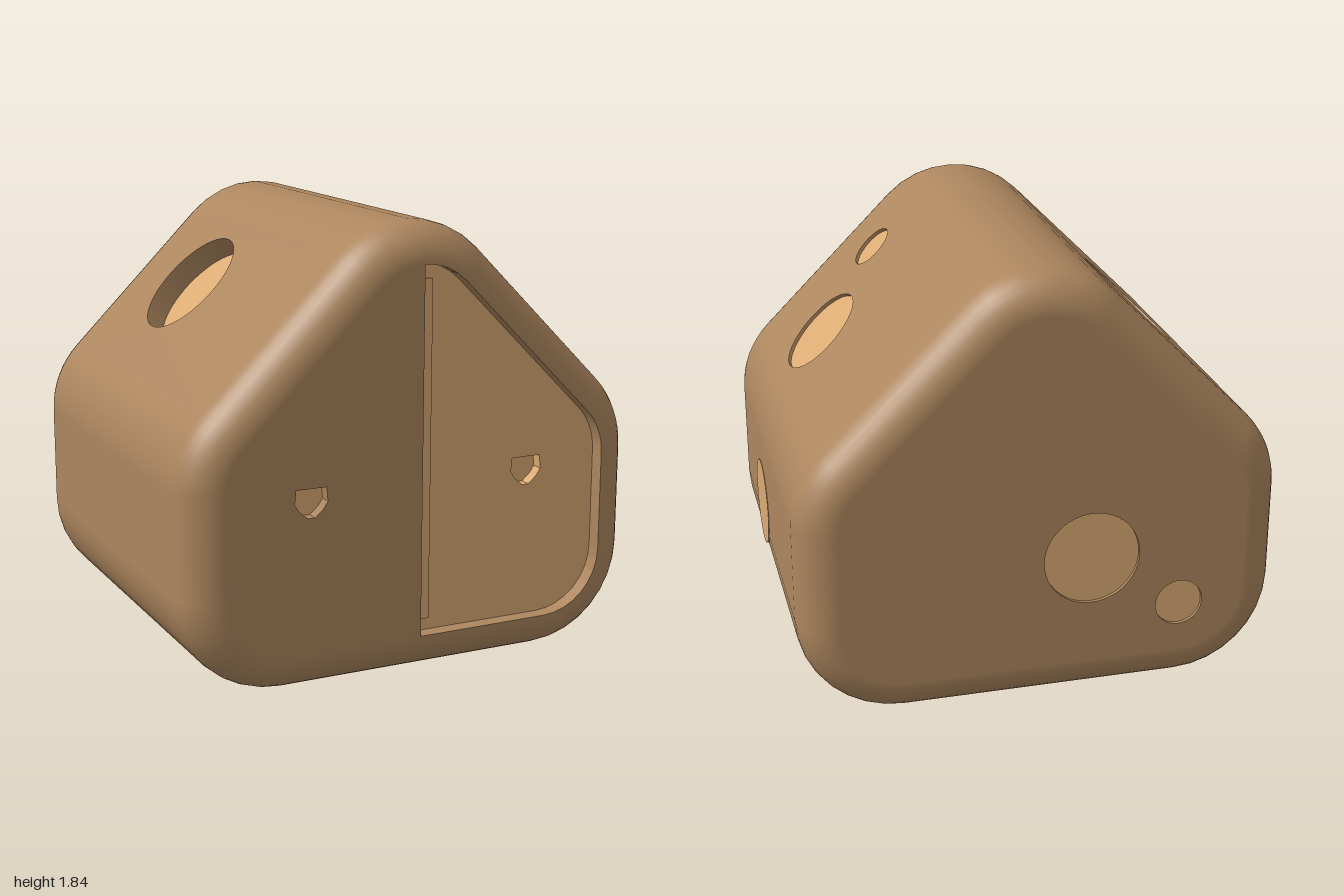
import * as THREE from 'three';

const R = 0.42, BEVEL = 0.16, HALF = 0.91, N = 8;

// Rounded house outline: five arcs, each [centre x, centre y, start angle, end angle]
const ARCS = [
  [0.58, 0.42, -90, 0], [0.58, 0.836, 0, 45], [0, 1.416, 45, 135],
  [-0.58, 0.836, 135, 180], [-0.58, 0.42, 180, 270],
];

function outline(inset) {
  const pts = [];
  for (const [cx, cy, a0, a1] of ARCS) {
    for (let i = 0; i <= N; i++) {
      const a = THREE.MathUtils.degToRad(a0 + (a1 - a0) * i / N);
      const p = new THREE.Vector2(cx + (R - inset) * Math.cos(a), cy + (R - inset) * Math.sin(a));
      p.angle0 = a;
      pts.push(p);
    }
  }
  return pts;
}

function circle(cx, cy, r) {
  return Array.from({ length: 48 }, (_, i) => {
    const a = i / 48 * Math.PI * 2;
    return new THREE.Vector2(cx + r * Math.cos(a), cy + r * Math.sin(a));
  });
}

// Small finger hole: flat top, pointed rounded bottom
function fingerHole(cx) {
  return [[-0.065, 0.838], [-0.07, 0.78], [-0.05, 0.75], [-0.015, 0.72], [0.015, 0.72],
    [0.05, 0.75], [0.07, 0.78], [0.065, 0.838]].map(([x, y]) => new THREE.Vector2(cx + x, y));
}

function add(parent, name, geometry, material) {
  const mesh = new THREE.Mesh(geometry, material);
  mesh.name = name;
  parent.add(mesh);
  return mesh;
}

// Flat plate at height z with cut-outs
function plate(parent, name, pts, holes, z, material) {
  const shape = new THREE.Shape(pts);
  holes.forEach(h => shape.holes.push(new THREE.Path(h)));
  return add(parent, name, new THREE.ShapeGeometry(shape).translate(0, 0, z), material);
}

// Side wall and floor of a recess below height z
function recess(parent, name, pts, z, depth, wallMat, floorMat, floorHoles = []) {
  const pos = [];
  pts.forEach((p, i) => {
    const q = pts[(i + 1) % pts.length], b = z - depth;
    pos.push(p.x, p.y, z, q.x, q.y, b, p.x, p.y, b, p.x, p.y, z, q.x, q.y, z, q.x, q.y, b);
  });
  const g = new THREE.BufferGeometry();
  g.setAttribute('position', new THREE.Float32BufferAttribute(pos, 3));
  g.computeVertexNormals();
  add(parent, name + 'Wall', g, wallMat);
  plate(parent, name + 'Floor', pts, floorHoles, z - depth, floorMat);
}

// Outer skin lofted from front bevel to back bevel, leaving the two roof flats open
function skinGeometry() {
  const pos = [], nor = [], idx = [], rings = [];
  for (let i = 0; i <= N; i++) rings.push([1, Math.PI / 2 * (1 - i / N)]);
  for (let i = 0; i <= N; i++) rings.push([-1, Math.PI / 2 * i / N]);
  for (const [side, t] of rings) {
    const z = side * (HALF - BEVEL + BEVEL * Math.sin(t));
    for (const p of outline(BEVEL * (1 - Math.cos(t)))) {
      pos.push(p.x, p.y, z);
      nor.push(Math.cos(p.angle0) * Math.cos(t), Math.sin(p.angle0) * Math.cos(t), side * Math.sin(t));
    }
  }
  const n = ARCS.length * (N + 1), roofRight = 2 * (N + 1) - 1, roofLeft = 3 * (N + 1) - 1;
  for (let r = 0; r < rings.length - 1; r++) {
    for (let i = 0; i < n; i++) {
      if (r === N && (i === roofRight || i === roofLeft)) continue;
      const j = (i + 1) % n, a = r * n + i, b = r * n + j, c = a + n, d = b + n;
      idx.push(a, c, b, b, c, d);
    }
  }
  const g = new THREE.BufferGeometry();
  g.setAttribute('position', new THREE.Float32BufferAttribute(pos, 3));
  g.setAttribute('normal', new THREE.Float32BufferAttribute(nor, 3));
  g.setIndex(idx);
  return g;
}

export function createModel() {
  const model = new THREE.Group();
  model.name = 'house';
  const shell = new THREE.MeshStandardMaterial({ color: 0xac865e, side: THREE.DoubleSide });
  shell.name = 'brown shell';
  const inner = new THREE.MeshStandardMaterial({ color: 0xdbab73, side: THREE.DoubleSide });
  inner.name = 'light tan inside';

  add(model, 'shell', skinGeometry(), shell);

  // Roof slopes with round holes: [distance along z, distance up the slope, radius, depth]
  const s = Math.SQRT1_2, up = R * s;
  const eave = [0.58 + up, 0.836 + up], slope = Math.hypot(eave[0] - up, 1.416 + up - eave[1]);
  const zFlat = HALF - BEVEL;
  for (const [side, name, holes] of [
    [1, 'rightRoof', [[0.19, 0.23, 0.2, 0.015], [0.45, 0.625, 0.1, 0.015]]],
    [-1, 'leftRoof', [[-0.225, 0.484, 0.25, 0.1]]],
  ]) {
    const roof = new THREE.Group();
    roof.name = name;
    roof.matrix.makeBasis(
      new THREE.Vector3(0, 0, -side), new THREE.Vector3(-side * s, s, 0), new THREE.Vector3(side * s, s, 0)
    ).setPosition(side * eave[0], eave[1], 0);
    roof.matrix.decompose(roof.position, roof.quaternion, roof.scale);
    const rect = [[-zFlat, 0], [zFlat, 0], [zFlat, slope], [-zFlat, slope]].map(p => new THREE.Vector2(...p));
    const rims = holes.map(([z, v, r]) => circle(-side * z, v, r));
    plate(roof, name + 'Slope', rect, rims, 0, shell);
    holes.forEach((h, i) => recess(roof, name + 'Hole', rims[i], 0, h[3], shell, inner));
    model.add(roof);
  }

  // Round spot on the right wall
  const spot = add(model, 'wallHole', new THREE.CylinderGeometry(0.188, 0.188, 0.009, 48), inner);
  spot.rotation.z = Math.PI / 2;
  spot.position.set(0.998, 0.515, 0.19);

  // Front: closed left half, recessed light right half
  const rim = outline(BEVEL), mid = 2 * (N + 1) + N / 2;
  const foot = new THREE.Vector2(0, BEVEL);
  const rightHalf = [foot, ...rim.slice(0, mid + 1)];
  const leftHalf = [...rim.slice(mid), foot];
  const leftGrip = fingerHole(-0.485), rightGrip = fingerHole(0.515);
  plate(model, 'leftDoor', leftHalf, [leftGrip], HALF, shell);
  recess(model, 'leftGrip', leftGrip, HALF, 0.05, shell, inner);
  recess(model, 'rightDoor', rightHalf, HALF, 0.065, shell, inner, [rightGrip]);
  recess(model, 'rightGrip', rightGrip, HALF - 0.065, 0.05, inner, inner);
  add(model, 'doorStrip', new THREE.BoxGeometry(0.06, 1.4, 0.009), inner).position.set(0.035, 0.91, 0.849);

  // Back face with two shallow holes
  const back = new THREE.Group();
  back.name = 'back';
  back.rotation.y = Math.PI;
  const backRims = [circle(0.19, 0.63, 0.2), circle(0.567, 0.38, 0.1)];
  plate(back, 'backWall', rim, backRims, HALF, shell);
  backRims.forEach(c => recess(back, 'backHole', c, HALF, 0.015, shell, inner));
  model.add(back);

  return model;
}
